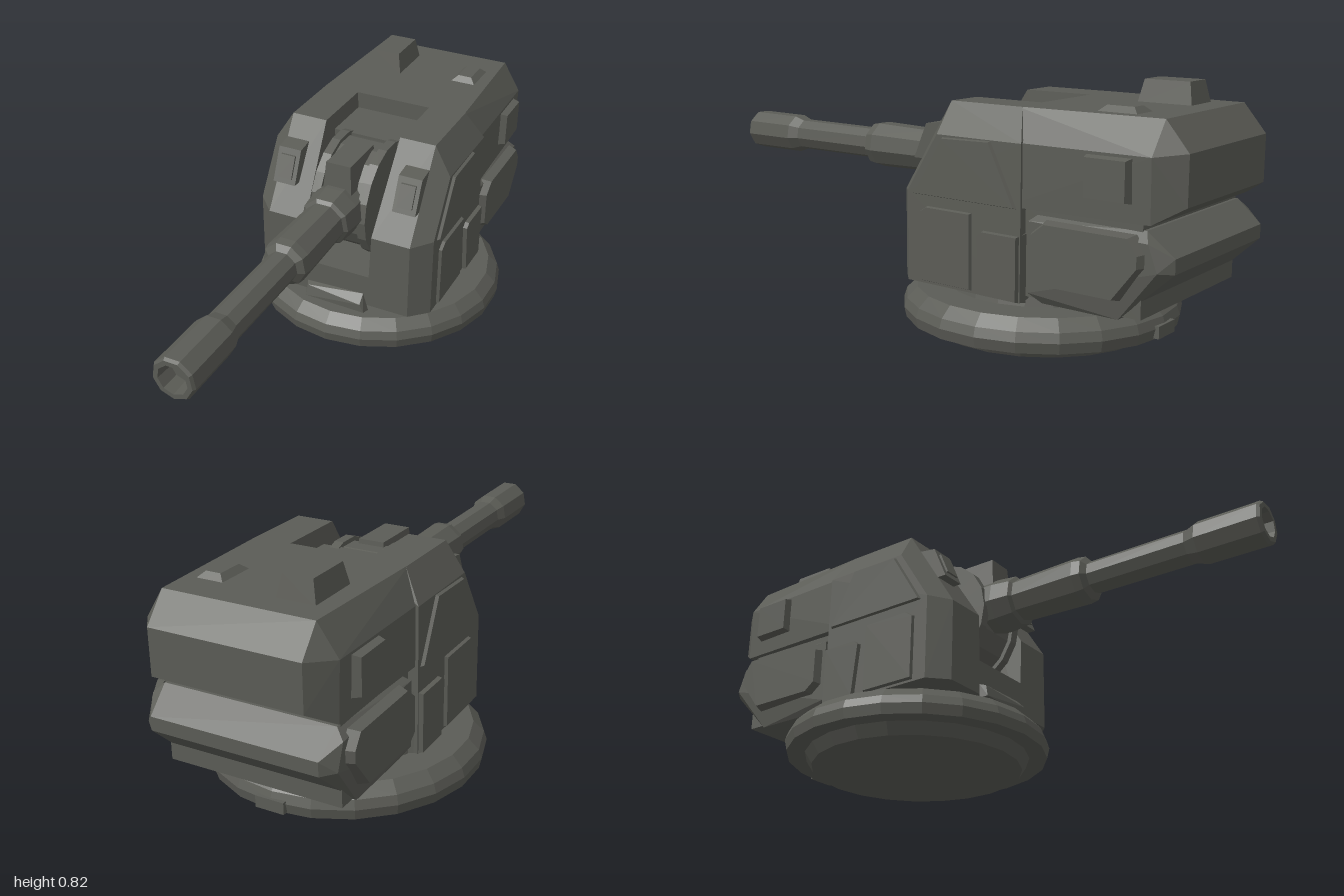
import * as THREE from 'three';
import { ConvexGeometry } from 'three/addons/geometries/ConvexGeometry.js';

export function createModel() {
  const model = new THREE.Group();
  model.name = 'gunTurret';
  const steel = new THREE.MeshStandardMaterial({ color: 0x5b5c56, flatShading: true });
  steel.name = 'dark grey steel';

  const add = (name, geometry) => {
    const mesh = new THREE.Mesh(geometry, steel);
    mesh.name = name;
    model.add(mesh);
    return mesh;
  };
  // Faceted solid around a few corner points
  const hull = (name, pts) => add(name, new ConvexGeometry(pts.map(p => new THREE.Vector3(...p))));
  // Solid symmetric in x; pts are [halfWidth, y, z]
  const symHull = (name, pts) => hull(name, pts.flatMap(([x, y, z]) => [[x, y, z], [-x, y, z]]));
  // Box given by its limits, with the top drawn in by t
  const block = (name, x0, x1, y0, y1, z0, z1, t = 0) => hull(name, [
    [x0, y0, z0], [x1, y0, z0], [x0, y0, z1], [x1, y0, z1],
    [x0 + t, y1, z0 + t], [x1 - t, y1, z0 + t], [x0 + t, y1, z1 - t], [x1 - t, y1, z1 - t]]);
  // Raised side panel; outline is [z, y], its outer face shrunk by k
  const sidePanel = (name, s, outline, x0, x1, k = 0.9) => {
    const n = outline.length;
    const cz = outline.reduce((a, p) => a + p[0], 0) / n;
    const cy = outline.reduce((a, p) => a + p[1], 0) / n;
    hull(name, outline.flatMap(([z, y]) => [
      [s * x0, y, z], [s * x1, cy + (y - cy) * k, cz + (z - cz) * k]]));
  };
  const lathe = (pts, n) => new THREE.LatheGeometry(pts.map(p => new THREE.Vector2(...p)), n);

  // Round base and turning ring
  add('baseRing', lathe([[0, 0], [0.365, 0], [0.39, 0.04], [0.452, 0.04], [0.46, 0.075],
    [0.45, 0.105], [0.415, 0.14], [0, 0.14]], 22)).position.z = -0.355;
  add('turningNeck', lathe([[0.31, 0.13], [0.3, 0.175], [0, 0.175]], 22)).position.z = -0.355;
  block('rearBaseLug', -0.05, 0.05, 0.045, 0.085, -0.82, -0.78);

  // Front hull: two cheeks with a slot for the gun between them
  const inner = y => 0.12 + (y - 0.285) * 0.043;
  const cheekProfile = [[0, 0.165], [0, 0.45], [-0.19, 0.75], [-0.46, 0.75], [-0.46, 0.165]];
  const cheekSide = [[-0.06, 0.165], [-0.06, 0.46], [-0.18, 0.65], [-0.5, 0.65], [-0.5, 0.165]];
  for (const s of [1, -1]) {
    hull('cheek', [
      ...cheekProfile.flatMap(([z, y]) => [[s * inner(y), y, z], [s * 0.27, y, z]]),
      ...cheekSide.map(([z, y]) => [s * 0.332, y, z])]);

    // Sight boxes on the sloped front
    hull('sightHousing', [0.185, 0.27].flatMap(x => [
      [s * x, 0.555, -0.035], [s * x, 0.67, -0.085], [s * x, 0.685, -0.19], [s * x, 0.555, -0.12]]));
    hull('sightWindow', [0.2, 0.255].flatMap(x => [
      [s * x, 0.575, -0.036], [s * x, 0.65, -0.068], [s * x, 0.65, -0.09], [s * x, 0.575, -0.06]]));

    // Side armour panels
    sidePanel('upperSidePanel', s, [[-0.08, 0.45], [-0.2, 0.645], [-0.39, 0.65], [-0.49, 0.45]], 0.325, 0.342, 0.94);
    sidePanel('frontSidePanel', s, [[-0.11, 0.17], [-0.11, 0.4], [-0.14, 0.42], [-0.32, 0.42], [-0.32, 0.17]], 0.325, 0.343, 0.95);
    sidePanel('sideStep', s, [[-0.34, 0.36], [-0.36, 0.375], [-0.5, 0.375], [-0.5, 0.16], [-0.36, 0.16]], 0.3, 0.347, 0.92);
    sidePanel('rearSidePanel', s, [[-0.53, 0.26], [-0.53, 0.39], [-0.58, 0.43], [-0.88, 0.43],
      [-0.915, 0.38], [-0.915, 0.34], [-0.83, 0.23], [-0.57, 0.23]], 0.31, 0.345, 0.92);
    sidePanel('sideVent', s, [[-0.71, 0.51], [-0.71, 0.645], [-0.865, 0.645], [-0.865, 0.51]], 0.3, 0.342, 0.86);
  }
  block('slotSill', -0.125, 0.125, 0.165, 0.285, -0.45, 0);
  block('slotBackFloor', -0.14, 0.14, 0.2, 0.69, -0.46, -0.25);
  hull('frontStep', [[-0.12, 0.15, 0], [-0.12, 0.2, 0], [0.1, 0.21, 0], [0.12, 0.145, 0],
    [-0.115, 0.155, 0.03], [-0.11, 0.195, 0.02], [0.1, 0.18, 0.03], [0.115, 0.15, 0.03]]);

  // Rear hull
  symHull('upperRearHull', [
    [0.322, 0.455, -0.44], [0.322, 0.65, -0.44], [0.27, 0.75, -0.44],
    [0.31, 0.46, -0.92], [0.315, 0.65, -0.92], [0.25, 0.75, -0.925],
    [0.25, 0.51, -1], [0.25, 0.66, -1]]);
  block('rearCore', -0.295, 0.295, 0.18, 0.5, -0.89, -0.44);
  symHull('lowerRearHull', [
    [0.32, 0.2, -0.52], [0.32, 0.42, -0.52], [0.29, 0.44, -0.54], [0.29, 0.44, -0.9],
    [0.32, 0.41, -0.92], [0.28, 0.37, -0.985], [0.28, 0.325, -0.985],
    [0.32, 0.33, -0.95], [0.3, 0.17, -0.82], [0.3, 0.17, -0.56]]);

  // Roof fittings
  block('roofHatch', -0.197, -0.068, 0.745, 0.82, -0.84, -0.655, 0.015);
  block('roofPlate', 0.12, 0.22, 0.745, 0.768, -0.82, -0.68, 0.025);

  // Gun mount: drum between two cheek discs, with a box on top
  const drum = (name, r, x, w) => {
    const mesh = add(name, new THREE.CylinderGeometry(r, r, w, 18));
    mesh.rotation.z = Math.PI / 2;
    mesh.position.set(x, 0.5, -0.2);
  };
  drum('mountDrum', 0.19, 0, 0.15);
  for (const s of [1, -1]) drum('mountDisc', 0.205, s * 0.088, 0.032);
  block('mountSightBox', -0.053, 0.053, 0.6, 0.703, -0.19, 0.005, 0.008);

  // Barrel with collar, sleeve, thin tube and hollow muzzle
  const barrel = add('barrel', lathe([[0, -0.12], [0.095, -0.12], [0.095, 0.02], [0.088, 0.09],
    [0.076, 0.1], [0.082, 0.34], [0.077, 0.37], [0.056, 0.385], [0.057, 0.74], [0.071, 0.78],
    [0.072, 0.99], [0.066, 1], [0.05, 1], [0.046, 0.94], [0, 0.94]], 9));
  barrel.rotation.x = Math.PI / 2;
  barrel.position.set(-0.003, 0.53, 0);

  return model;
}
